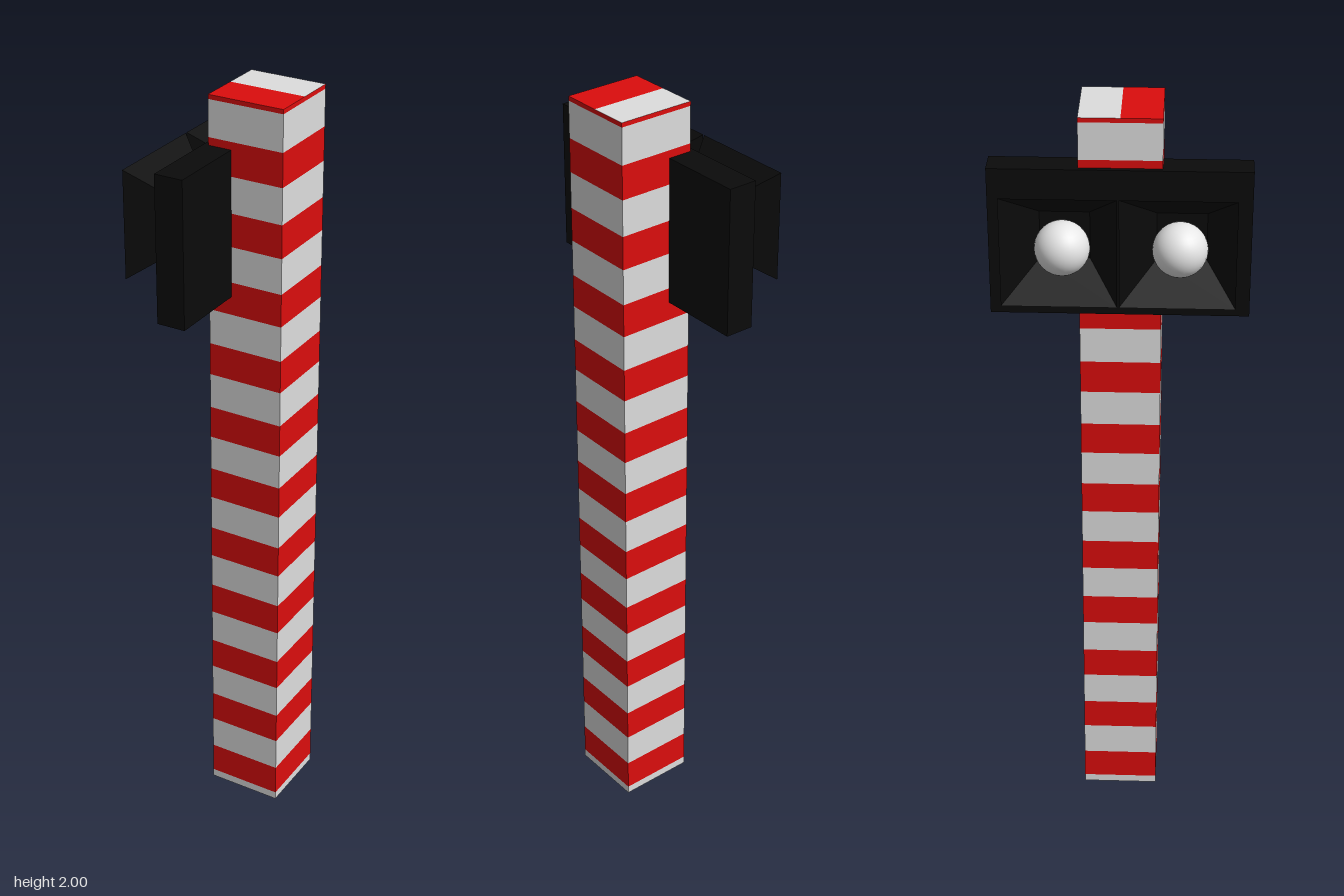
import * as THREE from 'three';

const mat = (name, color, side = THREE.FrontSide) => {
  const m = new THREE.MeshStandardMaterial({ color, side });
  m.name = name;
  return m;
};

// Open four-sided tube between two rings of four corners, with sharp edges
function openTube(a, b) {
  const pts = [];
  for (let i = 0; i < 4; i++) {
    const j = (i + 1) % 4;
    pts.push(...a[i], ...a[j], ...b[j], ...a[i], ...b[j], ...b[i]);
  }
  const g = new THREE.BufferGeometry();
  g.setAttribute('position', new THREE.Float32BufferAttribute(pts, 3));
  g.computeVertexNormals();
  return g;
}

export function createModel() {
  const group = new THREE.Group();
  const red = mat('signal red', 0xdc0d0d);
  const white = mat('pole white', 0xdedede);
  const black = mat('black', 0x0b0b0b, THREE.DoubleSide);
  const lamp = mat('lamp white', 0xe6e6e6);

  const add = (name, geometry, material, x = 0, y = 0, z = 0) => {
    const m = new THREE.Mesh(geometry, material);
    m.name = name;
    m.position.set(x, y, z);
    group.add(m);
    return m;
  };

  // Square pole wrapped in alternating bands
  const X0 = -0.025, X1 = 0.175, CX = 0.075, HALF = 0.1, H = 2;
  const ring = y => [[X0, y, HALF], [X1, y, HALF], [X1, y, -HALF], [X0, y, -HALF]];
  const band = (y0, y1, material) =>
    add(material === red ? 'redBand' : 'whiteBand', openTube(ring(y0), ring(y1)), material);
  const pitch = 0.1788, redHeight = 0.086, first = 0.022;
  band(0, first, white);
  for (let y = first; y < H; y += pitch) {
    band(y, Math.min(y + redHeight, H), red);
    if (y + redHeight < H) band(y + redHeight, Math.min(y + pitch, H), white);
  }

  // Pole ends, half red and half white
  for (const [y, turn, end] of [[H, -1, 'top'], [0, 1, 'bottom']]) {
    for (const [z, material] of [[HALF / 2, red], [-HALF / 2, white]]) {
      const cap = add(end + 'Cap', new THREE.PlaneGeometry(X1 - X0, HALF), material, CX, y, z);
      cap.rotation.x = turn * Math.PI / 2;
    }
  }

  // Backboard carrying the lamps
  add('backboard', new THREE.BoxGeometry(0.075, 0.376, 0.63), black, -0.0005, 1.688, -0.001);

  // Pair of flared square hoods, each with a round lamp inside
  const square = (x, y, z, h) =>
    [[x, y - h, z - h], [x, y - h, z + h], [x, y + h, z + h], [x, y + h, z - h]];
  for (const [wideZ, narrowZ, lampZ] of [[-0.141, -0.132, -0.134], [0.139, 0.1475, 0.144]]) {
    add('lampHood', openTube(square(-0.038, 1.71, narrowZ, 0.06), square(-0.149, 1.712, wideZ, 0.138)), black);
    add('lamp', new THREE.SphereGeometry(0.066, 32, 20), lamp, -0.111, 1.71, lampZ);
  }

  return group;
}
